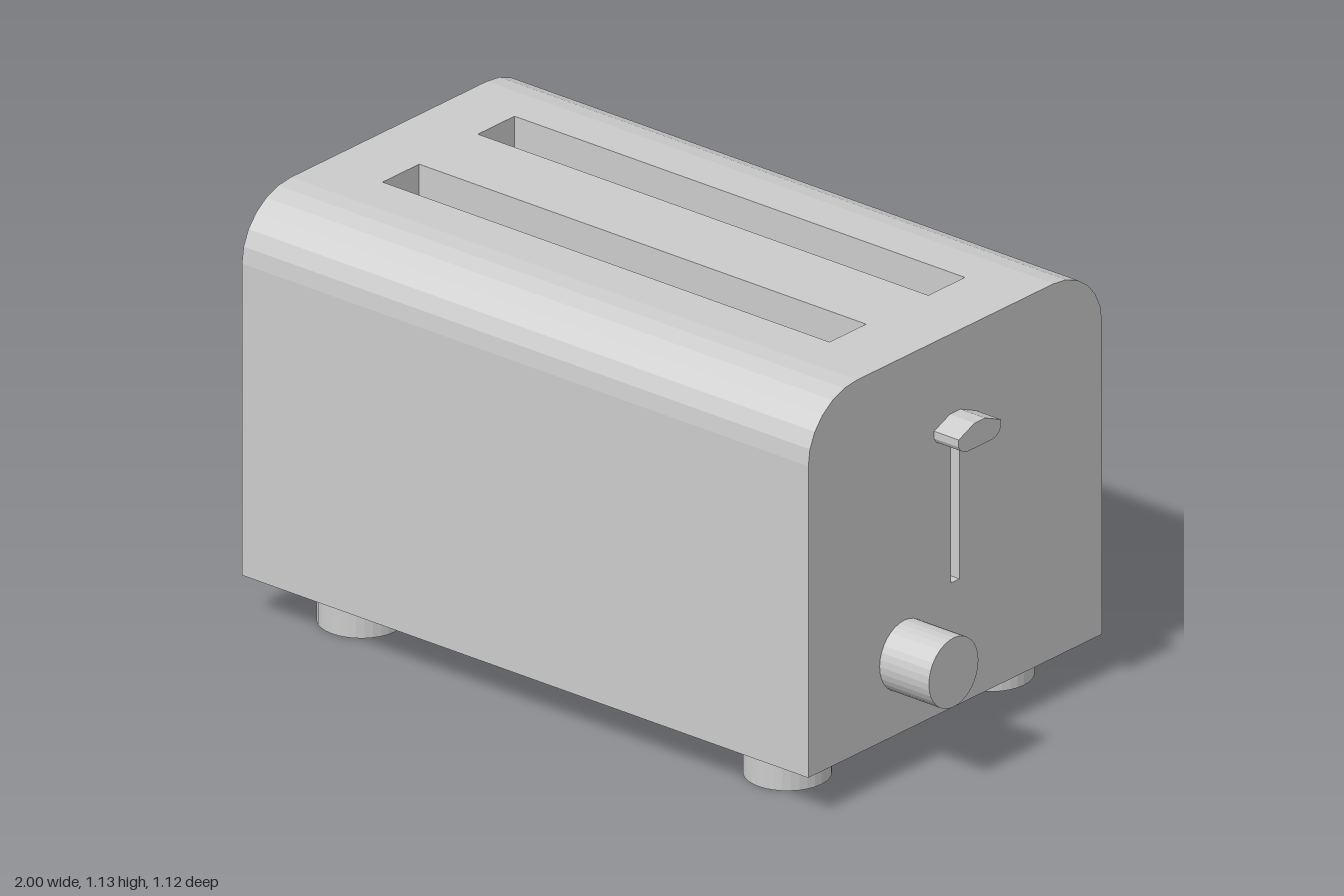
import * as THREE from 'three';

const X0 = -1, X1 = 0.84, Y0 = 0.113, Y1 = 1.13, HALF = 0.558, RZ = 0.185, RY = 0.17;

const material = new THREE.MeshStandardMaterial({ color: 0xcccccc, flatShading: true });

function rectPath(a, b, c, d) {
  return new THREE.Path([[a, c], [a, d], [b, d], [b, c]].map(p => new THREE.Vector2(...p)));
}

// End profile, from the top edge round the bottom to the other top edge
function profilePoints() {
  const half = [];
  for (let i = 0; i <= 6; i++) {
    const t = (i / 6) * Math.PI / 2;
    half.push(new THREE.Vector2(-(HALF - RZ + RZ * Math.sin(t)), Y1 - RY + RY * Math.cos(t)));
  }
  half.push(new THREE.Vector2(-HALF, Y0));
  return [...half, ...half.map(p => new THREE.Vector2(-p.x, p.y)).reverse()];
}

// Sides, rounded shoulders and underside as one strip swept along x
function wrapGeometry(points) {
  const pos = [];
  for (let i = 0; i < points.length - 1; i++) {
    const a = points[i], b = points[i + 1];
    const q = [[X0, a.y, -a.x], [X0, b.y, -b.x], [X1, b.y, -b.x], [X1, a.y, -a.x]];
    for (const k of [0, 1, 2, 0, 2, 3]) pos.push(...q[k]);
  }
  const g = new THREE.BufferGeometry();
  g.setAttribute('position', new THREE.Float32BufferAttribute(pos, 3));
  g.computeVertexNormals();
  return g;
}

// Recess: a box turned inside out with one face left open (0 = +x, 2 = +y)
function recessGeometry(min, max, openFace) {
  const size = max.map((v, i) => v - min[i]);
  const g = new THREE.BoxGeometry(...size);
  const index = [...g.index.array];
  index.splice(openFace * 6, 6);
  g.setIndex(index.reverse());
  g.clearGroups();
  const n = g.attributes.normal;
  for (let i = 0; i < n.count; i++) n.setXYZ(i, -n.getX(i), -n.getY(i), -n.getZ(i));
  return g.translate(...min.map((v, i) => v + size[i] / 2));
}

export function createModel() {
  const model = new THREE.Group();
  model.name = 'toaster';
  const add = (name, geometry, parent = model) => {
    const mesh = new THREE.Mesh(geometry, material);
    mesh.name = name;
    parent.add(mesh);
    return mesh;
  };

  // Housing
  const body = new THREE.Group();
  body.name = 'body';
  model.add(body);
  const points = profilePoints();
  add('bodyWrap', wrapGeometry(points), body);
  add('leftEnd', new THREE.ShapeGeometry(new THREE.Shape(points)).rotateY(-Math.PI / 2).translate(X0, 0, 0), body);

  // Control end with the lever slit
  const slit = { half: 0.016, bottom: 0.453, top: 0.88 };
  const controlEnd = new THREE.Shape(points);
  controlEnd.holes.push(rectPath(-slit.half, slit.half, slit.bottom, slit.top));
  add('controlEnd', new THREE.ShapeGeometry(controlEnd).rotateY(Math.PI / 2).translate(X1, 0, 0), body);
  add('leverSlit', recessGeometry([X1 - 0.06, slit.bottom, -slit.half], [X1, slit.top, slit.half], 0), body);

  // Top with two bread slots
  const w = HALF - RZ;
  const top = new THREE.Shape([[X0, -w], [X1, -w], [X1, w], [X0, w]].map(p => new THREE.Vector2(...p)));
  for (const [xa, xb, za, zb] of [[-0.814, 0.649, -0.26, -0.121], [-0.809, 0.643, 0.108, 0.247]]) {
    top.holes.push(rectPath(xa, xb, -zb, -za));
    add('breadSlot', recessGeometry([xa, 0.35, za], [xb, Y1, zb], 2), body);
  }
  add('top', new THREE.ShapeGeometry(top).rotateX(-Math.PI / 2).translate(0, Y1, 0), body);

  // Lever handle
  const side = [[0.02, 0.913], [0.08, 0.888], [0.08, 0.868], [0.073, 0.856], [0.06, 0.848], [0.045, 0.845]];
  const outline = [...side, ...side.map(([u, y]) => [-u, y]).reverse()];
  const lever = new THREE.Shape(outline.map(p => new THREE.Vector2(...p)));
  add('lever', new THREE.ExtrudeGeometry(lever, { depth: 0.08, bevelEnabled: false })
    .rotateY(Math.PI / 2).translate(X1, 0, 0));

  // Browning knob
  add('knob', new THREE.CylinderGeometry(0.094, 0.094, 0.16, 32)
    .rotateZ(-Math.PI / 2).translate(X1 + 0.08, 0.32, 0.193));

  // Feet
  for (const x of [-0.765, 0.62]) {
    for (const z of [-0.39, 0.38]) {
      add('foot', new THREE.CylinderGeometry(0.11, 0.11, Y0, 32).translate(x, Y0 / 2, z));
    }
  }
  return model;
}
